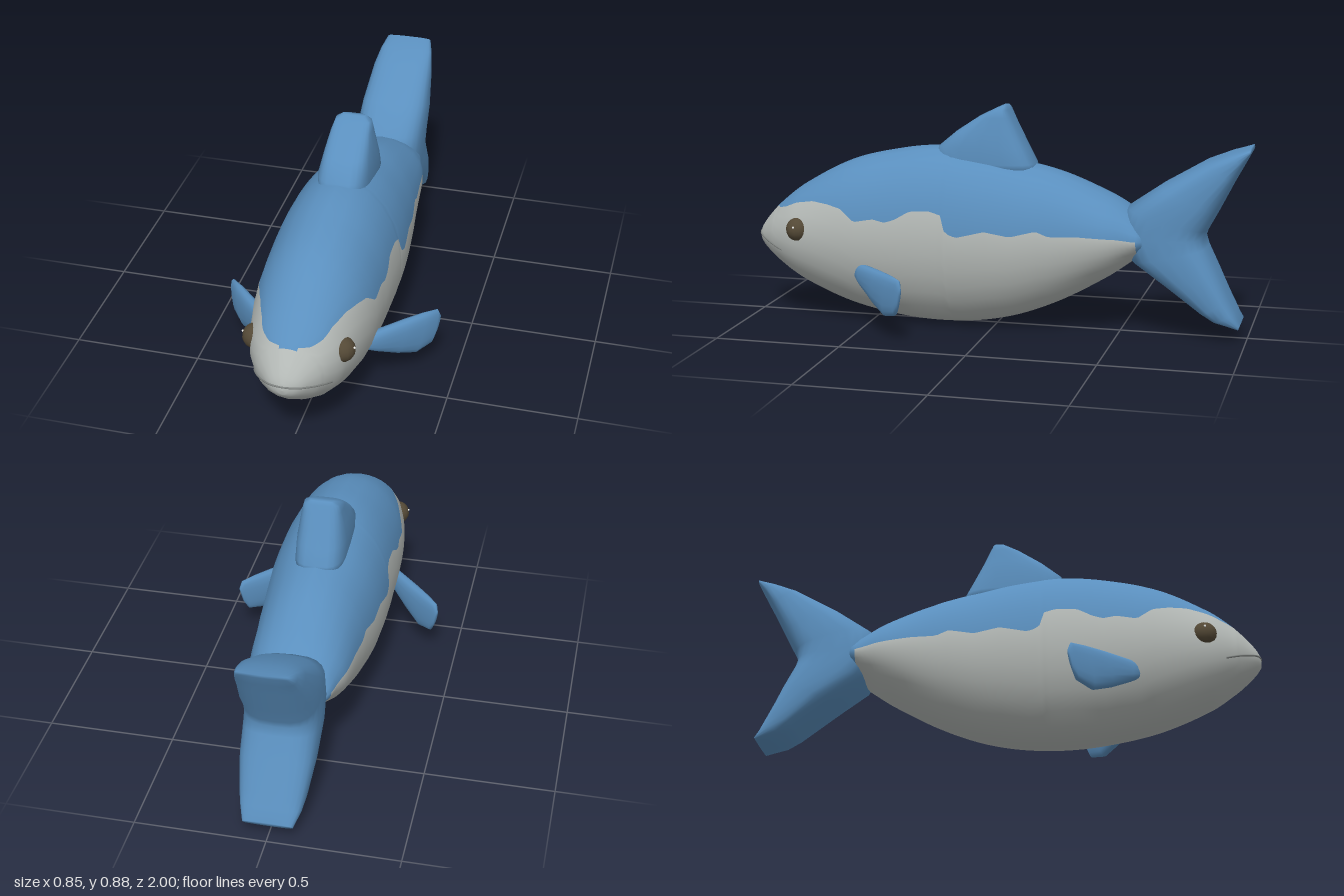
import * as THREE from 'three';

const mat = (name, color, side = THREE.FrontSide) => {
  const m = new THREE.MeshStandardMaterial({ color, side });
  m.name = name;
  return m;
};
const blue = mat('back blue', 0x5a8fbe);
const grey = mat('belly grey', 0xb4b9b6);
const brown = mat('eye brown', 0x544936);
const mouthGrey = mat('mouth grey', 0x808482);
const white = mat('eye glint', 0xe8e8e4);

// Body profile: z, top, bottom, half width
const BODY = [
  [1, 0.335, 0.305, 0.012], [0.985, 0.365, 0.283, 0.05], [0.95, 0.41, 0.248, 0.09],
  [0.9, 0.462, 0.207, 0.132], [0.8, 0.54, 0.142, 0.182], [0.6, 0.645, 0.06, 0.224],
  [0.4, 0.697, 0.017, 0.237], [0.23, 0.717, 0.003, 0.24], [0.06, 0.703, 0.013, 0.238],
  [-0.1, 0.67, 0.048, 0.226], [-0.27, 0.628, 0.117, 0.208], [-0.45, 0.553, 0.22, 0.189],
  [-0.53, 0.508, 0.277, 0.166], [-0.6, 0.45, 0.33, 0.142], [-0.62, 0.43, 0.35, 0.1],
];
// Wavy edge between back and belly: z, y
const WAVE = [
  [0.92, 0.45], [0.89, 0.447], [0.85, 0.458], [0.8, 0.48], [0.72, 0.495], [0.65, 0.49], [0.59, 0.478],
  [0.53, 0.432], [0.45, 0.447], [0.4, 0.437], [0.36, 0.45], [0.3, 0.485], [0.22, 0.49], [0.17, 0.475],
  [0.155, 0.41], [0.11, 0.393], [0, 0.42], [-0.1, 0.403], [-0.2, 0.428], [-0.25, 0.408],
  [-0.35, 0.412], [-0.5, 0.404], [-0.56, 0.395], [-0.62, 0.39],
];

function sample(table, z, col, smooth) {
  let i = 0;
  while (i < table.length - 2 && z < table[i + 1][0]) i++;
  const [p, q] = [table[i], table[i + 1]];
  const d = q[0] - p[0];
  const t = Math.min(1, Math.max(0, (z - p[0]) / d));
  if (!smooth) return p[col] + (q[col] - p[col]) * t;
  const slope = k => {
    const a = table[Math.max(0, k - 1)], b = table[Math.min(table.length - 1, k + 1)];
    return (b[col] - a[col]) / (b[0] - a[0]);
  };
  const t2 = t * t, t3 = t2 * t;
  return (2 * t3 - 3 * t2 + 1) * p[col] + (t3 - 2 * t2 + t) * d * slope(i)
    + (3 * t2 - 2 * t3) * q[col] + (t3 - t2) * d * slope(i + 1);
}

function bodyRing(z) {
  const top = sample(BODY, z, 1, true), bottom = sample(BODY, z, 2, true);
  return { cy: (top + bottom) / 2, h: (top - bottom) / 2, w: sample(BODY, z, 3, true) };
}

function buildGeometry(pos, index) {
  const g = new THREE.BufferGeometry();
  g.setAttribute('position', new THREE.Float32BufferAttribute(pos, 3));
  g.setIndex(index);
  g.computeVertexNormals();
  return g;
}

// Rings whose columns follow the wavy colour edge
function bodyGeometry() {
  const rings = 110, backCols = 10, cols = 26;
  const pos = [], zs = [], back = [], belly = [];
  for (let i = 0; i <= rings; i++) {
    const z = 1 - 1.62 * Math.pow(i / rings, 1.4);
    zs.push(z);
    const { cy, h, w } = bodyRing(z);
    const s = Math.min(0.96, Math.max(-0.9, (sample(WAVE, z, 1, false) - cy) / h));
    const a = Math.asin(s), k = i === 0 ? 0 : 1;
    for (let j = 0; j < cols; j++) {
      const ang = j < backCols
        ? a + (Math.PI - 2 * a) * j / backCols
        : Math.PI - a + (Math.PI + 2 * a) * (j - backCols) / (cols - backCols);
      pos.push(w * k * Math.cos(ang), cy + h * k * Math.sin(ang), z);
    }
  }
  for (let i = 0; i < rings; i++) {
    for (let j = 0; j < cols; j++) {
      const n = (j + 1) % cols;
      const a = i * cols + j, b = i * cols + n, c = a + cols, d = b + cols;
      const isBack = zs[i] < -0.575 || (j < backCols && zs[i] < 0.92);
      (isBack ? back : belly).push(a, c, b, b, c, d);
    }
  }
  const g = buildGeometry(pos, back.concat(belly));
  g.addGroup(0, back.length, 0);
  g.addGroup(back.length, belly.length, 1);
  return g;
}

// Rounded loft: each section has two edge points and a half thickness along dir
function loft(sections, dir, power, sides = 24) {
  const secs = sections.map(([a, b, w]) => ({
    c: a.clone().add(b).multiplyScalar(0.5), u: a.clone().sub(b).multiplyScalar(0.5), w,
  }));
  const cap = s => ({ c: s.c, u: new THREE.Vector3(), w: 0 });
  const all = [cap(secs[0]), ...secs, cap(secs[secs.length - 1])];
  const pow = v => Math.sign(v) * Math.pow(Math.abs(v), power);
  const pos = [], index = [];
  for (const s of all) {
    for (let j = 0; j < sides; j++) {
      const t = j / sides * Math.PI * 2;
      const p = s.c.clone().addScaledVector(s.u, pow(Math.cos(t))).addScaledVector(dir, s.w * pow(Math.sin(t)));
      pos.push(p.x, p.y, p.z);
    }
  }
  const m = secs.length >> 1;
  const along = secs[m].c.clone().sub(secs[m - 1].c);
  const forward = secs[m].u.clone().cross(dir).dot(along) > 0;
  for (let i = 0; i < all.length - 1; i++) {
    for (let j = 0; j < sides; j++) {
      const a = i * sides + j, b = i * sides + (j + 1) % sides, c = a + sides, d = b + sides;
      if (forward) index.push(a, b, c, b, d, c);
      else index.push(a, c, b, b, c, d);
    }
  }
  return buildGeometry(pos, index);
}

export function createModel() {
  const fish = new THREE.Group();
  fish.name = 'fish';
  const add = (name, geometry, material) => {
    const mesh = new THREE.Mesh(geometry, material);
    mesh.name = name;
    fish.add(mesh);
    return mesh;
  };
  const V = (x, y, z) => new THREE.Vector3(x, y, z);
  const X = V(1, 0, 0);

  add('body', bodyGeometry(), [blue, grey]);

  // Forked tail, from upper tip to lower tip: front z,y, rear z,y, half width
  const tail = [
    [-0.997, 0.757, -1.0, 0.738, 0.095], [-0.92, 0.735, -0.975, 0.69, 0.112],
    [-0.83, 0.70, -0.94, 0.625, 0.125], [-0.66, 0.60, -0.88, 0.505, 0.14],
    [-0.53, 0.51, -0.84, 0.43, 0.143], [-0.5, 0.40, -0.83, 0.40, 0.142],
    [-0.55, 0.297, -0.84, 0.365, 0.143], [-0.69, 0.20, -0.88, 0.28, 0.14],
    [-0.82, 0.105, -0.93, 0.17, 0.125], [-0.87, 0.076, -0.955, 0.12, 0.115],
    [-0.97, 0.052, -0.977, 0.07, 0.095],
  ];
  add('tailFin', loft(tail.map(([fz, fy, rz, ry, w]) => [V(0, fy, fz), V(0, ry, rz), w]), X, 0.68), blue);

  // Dorsal fin: y, front z, rear z, half width
  const dorsal = [
    [0.62, 0.235, -0.165, 0.1], [0.66, 0.237, -0.157, 0.1], [0.72, 0.232, -0.125, 0.1],
    [0.78, 0.16, -0.095, 0.09], [0.84, 0.07, -0.065, 0.079], [0.87, 0.01, -0.05, 0.07],
    [0.884, -0.02, -0.042, 0.045],
  ];
  add('dorsalFin', loft(dorsal.map(([y, f, r, w]) => [V(0, y, f), V(0, y, r), w]), X, 0.6), blue);

  // Side fins sweep outward and back: upper x,y, lower x,y, half thickness
  const sideFin = [
    [0.18, 0.25, 0.18, 0.2, 0.018], [0.215, 0.262, 0.215, 0.172, 0.026],
    [0.31, 0.263, 0.28, 0.125, 0.028], [0.37, 0.262, 0.34, 0.092, 0.024],
    [0.412, 0.256, 0.392, 0.11, 0.016], [0.422, 0.225, 0.408, 0.15, 0.007],
  ];
  for (const s of [1, -1]) {
    const side = s > 0 ? 'left' : 'right';
    const P = (x, y) => V(s * x, y, 0.51 - (x - 0.2) * 1.05);
    add(side + 'SideFin', loft(
      sideFin.map(([ax, ay, bx, by, w]) => [P(ax, ay), P(bx, by), w]),
      V(s * 0.72, 0, 0.69), 0.85, 16), blue);

    const eye = add(side + 'Eye', new THREE.SphereGeometry(0.048, 14, 10), brown);
    eye.position.set(s * 0.164, 0.378, 0.783);
    const glint = add(side + 'EyeGlint', new THREE.SphereGeometry(0.005, 8, 6), white);
    glint.position.set(s * 0.209, 0.393, 0.786);
  }

  // Mouth crease wrapped around the snout
  const mouth = [];
  const depths = [0.86, 0.89, 0.92, 0.95, 0.975, 0.99];
  const mouthPoint = (z, s) => {
    const { cy, h, w } = bodyRing(z);
    const y = 0.285 + 0.045 * (z - 0.86) / 0.13;
    return V(s * w * Math.sqrt(Math.max(0, 1 - ((y - cy) / h) ** 2)), y, z);
  };
  for (const z of depths) mouth.push(mouthPoint(z, -1));
  mouth.push(V(0, 0.334, 0.998));
  for (const z of [...depths].reverse()) mouth.push(mouthPoint(z, 1));
  add('mouth', new THREE.TubeGeometry(new THREE.CatmullRomCurve3(mouth), 48, 0.004, 6), mouthGrey);

  return fish;
}
